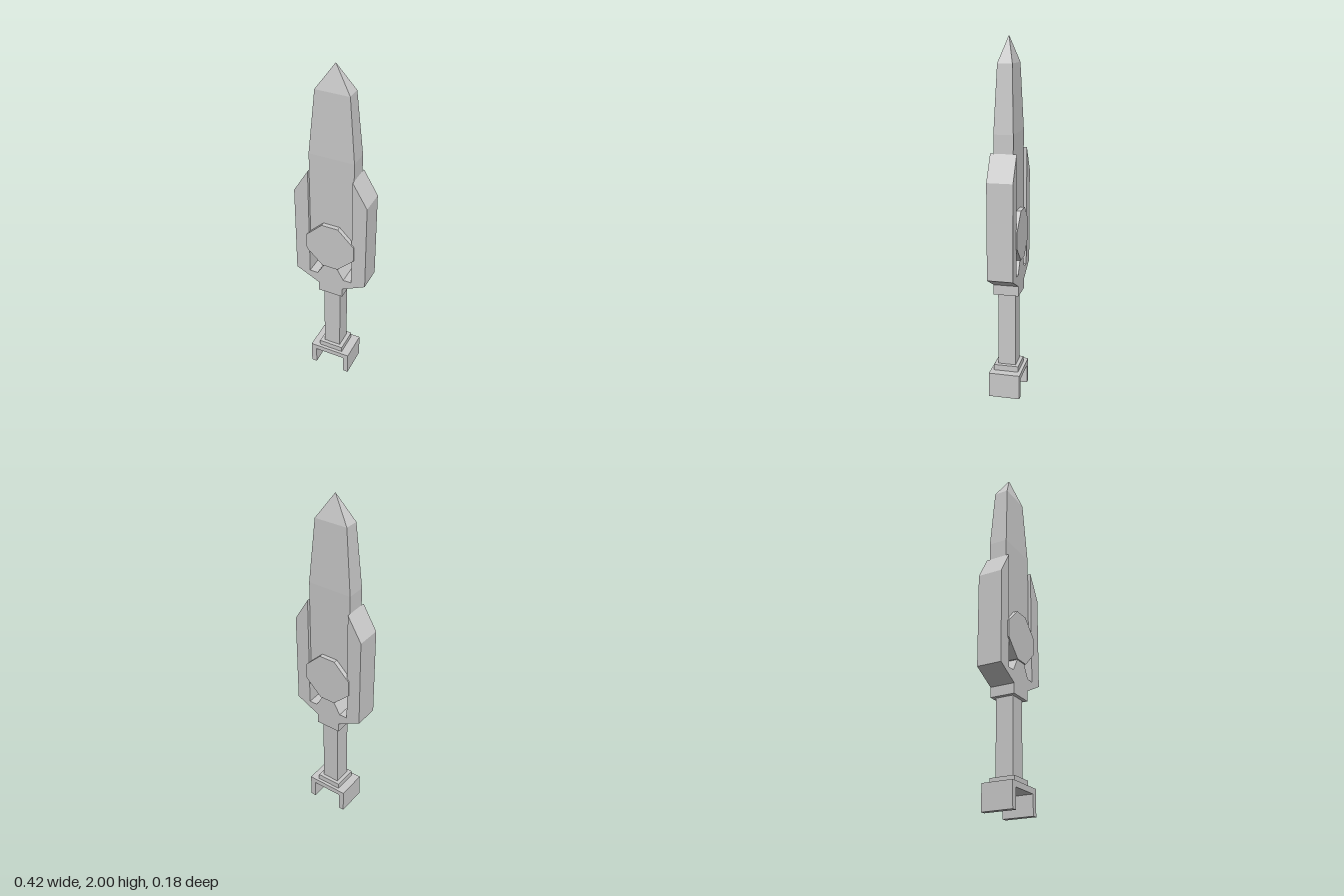
import * as THREE from 'three';

const grey = new THREE.MeshStandardMaterial({ color: 0xcccccc, flatShading: true });

function add(parent, name, geometry) {
  const mesh = new THREE.Mesh(geometry, grey);
  mesh.name = name;
  parent.add(mesh);
  return mesh;
}

// Box from half width, half depth and a height range
function block(halfX, halfZ, y0, y1) {
  return new THREE.BoxGeometry(halfX * 2, y1 - y0, halfZ * 2).translate(0, (y0 + y1) / 2, 0);
}

// Plate symmetric about x = 0, from its right-hand outline listed bottom to top
function plate(half, halfZ) {
  const mirrored = half.map(([x, y]) => [-x, y]).reverse();
  const shape = new THREE.Shape([...half, ...mirrored].map(([x, y]) => new THREE.Vector2(x, y)));
  return new THREE.ExtrudeGeometry(shape, { depth: halfZ * 2, bevelEnabled: false }).translate(0, 0, -halfZ);
}

// Solid through rectangular sections [y, halfX, halfZ], from bottom to top
function loft(sections) {
  const positions = [];
  const index = [0, 1, 2, 0, 2, 3];
  for (const [y, w, d] of sections) {
    positions.push(-w, y, -d, w, y, -d, w, y, d, -w, y, d);
  }
  for (let s = 0; s < sections.length - 1; s++) {
    for (let i = 0; i < 4; i++) {
      const a = s * 4 + i;
      const b = s * 4 + (i + 1) % 4;
      index.push(a, a + 4, b, b, a + 4, b + 4);
    }
  }
  const indexed = new THREE.BufferGeometry();
  indexed.setAttribute('position', new THREE.Float32BufferAttribute(positions, 3));
  indexed.setIndex(index);
  const geometry = indexed.toNonIndexed();
  geometry.computeVertexNormals();
  return geometry;
}

export function createModel() {
  const model = new THREE.Group();
  model.name = 'shortSword';

  // Forked pommel, open underneath
  add(model, 'pommelFork', plate([[0.09, 0.11], [0.09, 0], [0.122, 0], [0.122, 0.142]], 0.088));
  add(model, 'pommelFlange', block(0.073, 0.07, 0.142, 0.175));

  // Grip
  add(model, 'grip', block(0.05, 0.05, 0.175, 0.6));

  // Guard: collar, two upright arms and a central stem, with a window each side
  add(model, 'guard', plate([
    [0.073, 0.6], [0.073, 0.657], [0.211, 0.727], [0.211, 1.26], [0.128, 1.4],
    [0.128, 0.727], [0.08, 0.727], [0.038, 0.8], [0.038, 0.9],
  ], 0.071));

  // Eight-sided boss where the blade meets the guard
  add(model, 'boss', plate([[0.046, 0.8], [0.142, 0.893], [0.142, 0.987], [0.048, 1.08]], 0.078));

  // Blade, tapering to a four-sided point
  add(model, 'blade', loft([
    [0.94, 0.128, 0.053], [1.5, 0.128, 0.053], [1.86, 0.095, 0.04], [2, 0, 0],
  ]));

  return model;
}
